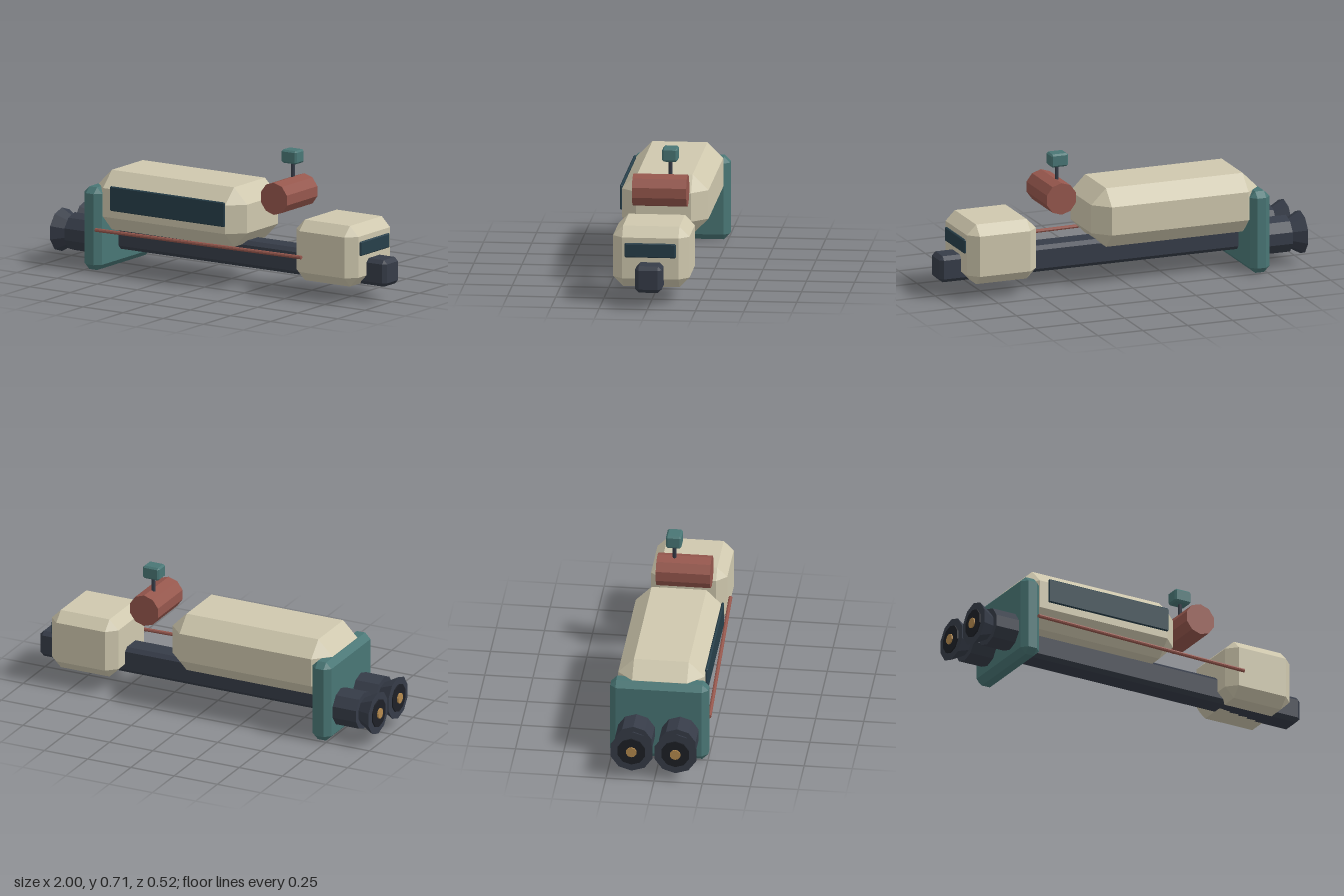
import * as THREE from 'three';
import { ConvexGeometry } from 'three/addons/geometries/ConvexGeometry.js';

const paint = (color) => new THREE.MeshStandardMaterial({ color, flatShading: true });

// Box with all edges cut at 45 degrees, given by its min/max extents
function chamferBox([x0, x1], [y0, y1], [z0, z1], c) {
  const half = [(x1 - x0) / 2, (y1 - y0) / 2, (z1 - z0) / 2];
  const points = [];
  for (const sx of [-1, 1]) for (const sy of [-1, 1]) for (const sz of [-1, 1])
    for (let face = 0; face < 3; face++) {
      const [x, y, z] = half.map((h, axis) => (axis === face ? h : h - c));
      points.push(new THREE.Vector3(sx * x, sy * y, sz * z));
    }
  return new ConvexGeometry(points).translate((x0 + x1) / 2, (y0 + y1) / 2, (z0 + z1) / 2);
}

// Ten-sided cylinder along x, with a corner at the top
function xCylinder(x0, x1, r0, r1, y, z) {
  return new THREE.CylinderGeometry(r1, r0, x1 - x0, 10)
    .rotateY(Math.PI / 2)
    .rotateZ(-Math.PI / 2)
    .translate((x0 + x1) / 2, y, z);
}

export function createModel() {
  const model = new THREE.Group();
  const cream = paint(0xcfc8ae), green = paint(0x497675), red = paint(0x96574d);
  const dark = paint(0x363c48), glass = paint(0x273f4a), black = paint(0x1d2026), amber = paint(0xb58a4e);

  const add = (name, geometry, material, parent = model) => {
    const mesh = new THREE.Mesh(geometry, material);
    mesh.name = name;
    parent.add(mesh);
    return mesh;
  };

  // Hull
  add('keel', chamferBox([-0.72, 1], [0.085, 0.225], [-0.073, 0.066], 0.02), dark);
  add('cargoHull', chamferBox([-0.735, 0.19], [0.205, 0.52], [-0.228, 0.221], 0.082), cream);
  add('cabin', chamferBox([0.5, 0.885], [0.085, 0.405], [-0.202, 0.194], 0.052), cream);
  add('rearBulkhead', chamferBox([-0.77, -0.66], [0, 0.437], [-0.259, 0.251], 0.031), green);

  // Windows
  add('sideWindow', chamferBox([-0.605, 0.11], [0.325, 0.455], [0.218, 0.232], 0.005), glass);
  add('frontWindow', chamferBox([0.88, 0.895], [0.25, 0.325], [-0.137, 0.13], 0.005), glass);

  // Floating drum with its sensor mast
  const drum = new THREE.CylinderGeometry(0.085, 0.085, 0.282, 10).rotateX(Math.PI / 2);
  add('drum', drum.translate(0.355, 0.489, -0.004), red);
  add('mast', new THREE.CylinderGeometry(0.01, 0.01, 0.1, 8).translate(0.345, 0.605, -0.055), dark);
  add('sensorHead', chamferBox([0.295, 0.39], [0.645, 0.715], [-0.095, -0.015], 0.009), green);

  // Side cable from bulkhead to cabin
  const cable = new THREE.LineCurve3(new THREE.Vector3(-0.68, 0.219, 0.25), new THREE.Vector3(0.575, 0.219, 0.208));
  const cableMesh = add('cable', new THREE.CylinderGeometry(0.01, 0.01, cable.getLength(), 8), red);
  cableMesh.position.copy(cable.getPoint(0.5));
  cableMesh.quaternion.setFromUnitVectors(new THREE.Vector3(0, 1, 0), cable.getTangent(0));

  // Twin engines
  for (const z of [-0.119, 0.109]) {
    const engine = new THREE.Group();
    engine.name = 'engine';
    add('enginePod', xCylinder(-0.905, -0.74, 0.1, 0.1, 0.16, z), dark, engine);
    add('engineBell', xCylinder(-0.985, -0.9, 0.115, 0.068, 0.16, z), dark, engine);
    add('engineThroat', xCylinder(-0.992, -0.98, 0.075, 0.075, 0.16, z), black, engine);
    add('engineGlow', xCylinder(-1, -0.985, 0.028, 0.028, 0.16, z), amber, engine);
    model.add(engine);
  }
  return model;
}
